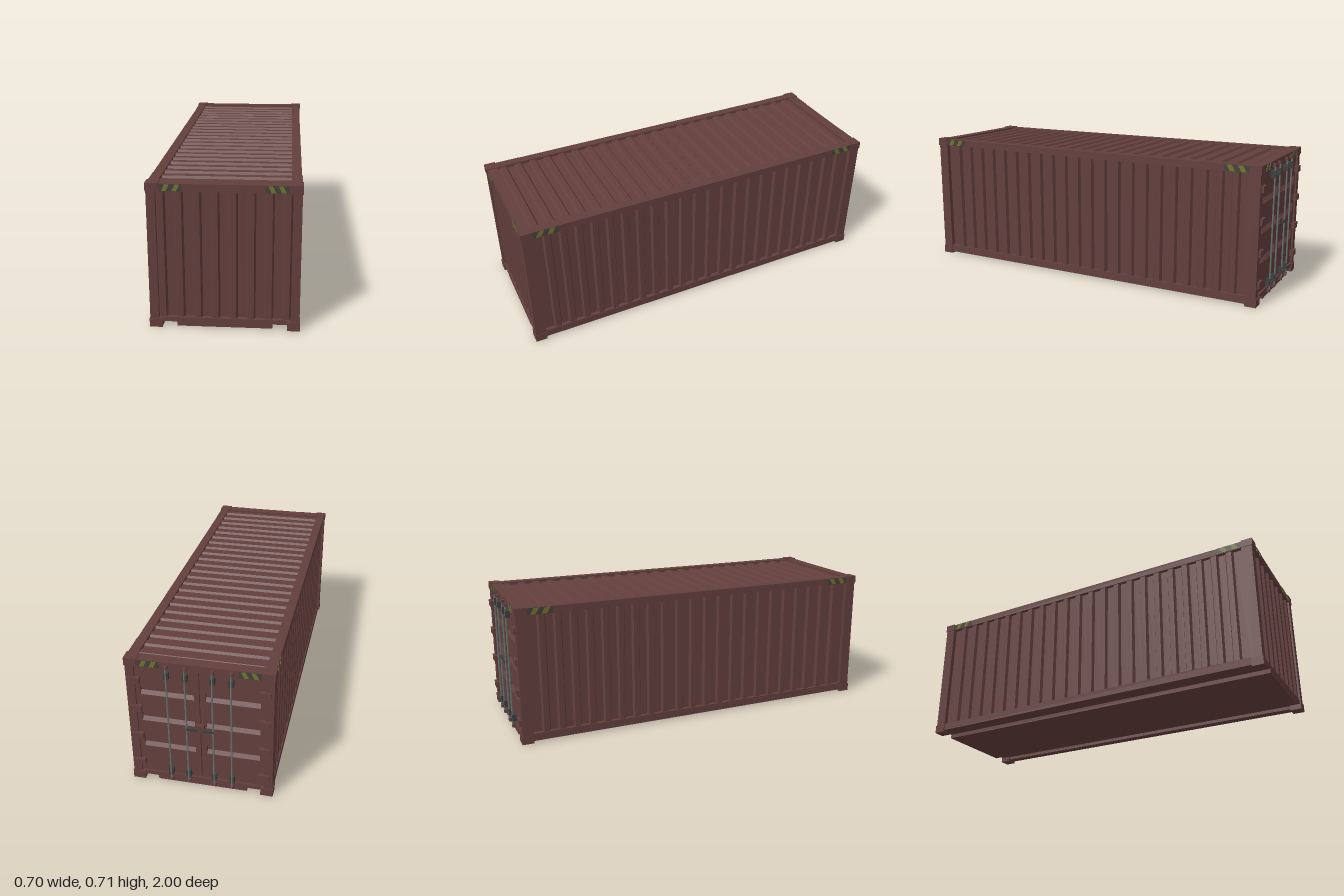
import * as THREE from 'three';

const mat = (name, color) => new THREE.MeshStandardMaterial({ name, color });

export function createModel() {
  const root = new THREE.Group();
  root.name = 'shippingContainer';
  const paint = mat('brownRedPaint', 0x633f3d);
  const steel = mat('greySteel', 0x66736f);
  const darkSteel = mat('darkSteel', 0x3b3f3c);
  const markDark = mat('warningDark', 0x42423a);
  const markYellow = mat('warningYellow', 0x77702f);

  const add = (name, geo, m = paint, parent = root) => {
    const mesh = new THREE.Mesh(geo, m);
    mesh.name = name;
    parent.add(mesh);
    return mesh;
  };
  // Box given by its lower and upper limits on each axis
  const box = (name, x0, x1, y0, y1, z0, z1, m = paint, parent = root) =>
    add(name, new THREE.BoxGeometry(x1 - x0, y1 - y0, z1 - z0)
      .translate((x0 + x1) / 2, (y0 + y1) / 2, (z0 + z1) / 2), m, parent);

  const PITCH = 0.082;
  // Corrugated sheet: runs along x, ridges point to +y, extruded along z
  const corrugated = (half, count, ridge, slope, depth, extent) => {
    const s = new THREE.Shape();
    s.moveTo(-half, -0.01);
    s.lineTo(-half, 0);
    for (let i = 0; i < count; i++) {
      const c = (i - (count - 1) / 2) * PITCH;
      s.lineTo(c - ridge / 2, 0);
      s.lineTo(c - ridge / 2 + slope, depth);
      s.lineTo(c + ridge / 2 - slope, depth);
      s.lineTo(c + ridge / 2, 0);
    }
    s.lineTo(half, 0);
    s.lineTo(half, -0.01);
    return new THREE.ExtrudeGeometry(s, { depth: extent, bevelEnabled: false });
  };

  const ZF = 1, ZB = -0.985, ZM = (ZF + ZB) / 2;

  // Corner castings and posts
  for (const s of [-1, 1]) {
    const xs = (a, b) => (s > 0 ? [a, b] : [-b, -a]);
    for (const [z0, z1] of [[0.94, ZF], [ZB, -0.925]]) {
      box('cornerCasting', ...xs(0.291, 0.352), 0, 0.043, z0, z1);
      box('cornerCasting', ...xs(0.291, 0.352), 0.666, 0.706, z0, z1);
      const zi = z0 > 0 ? [z0, z1 - 0.004] : [z0 + 0.004, z1];
      box('cornerPost', ...xs(0.308, 0.349), 0.043, 0.666, ...zi);
    }
    // Long rails
    box('topSideRail', ...xs(0.3, 0.346), 0.666, 0.702, -0.925, 0.94);
    box('bottomSideRail', ...xs(0.3, 0.346), 0.01, 0.05, -0.925, 0.94);

    // Side walls
    const wall = corrugated(0.9325, 22, 0.045, 0.008, 0.016, 0.616)
      .rotateX(Math.PI / 2).rotateY(s * Math.PI / 2)
      .translate(s * 0.326, 0.666, ZM);
    add('sideWall', wall);
  }

  // Front wall with header and sill
  add('frontWall', corrugated(0.309, 8, 0.042, 0.008, 0.016, 0.616)
    .rotateX(Math.PI / 2).translate(0, 0.666, 0.972));
  box('frontHeader', -0.291, 0.291, 0.666, 0.702, 0.94, 0.994);
  box('frontSill', -0.291, 0.291, 0.028, 0.05, 0.94, 0.994);

  // Roof: corrugated field between flat end strips
  add('roof', corrugated(0.9325, 23, 0.046, 0.009, 0.011, 0.602)
    .rotateY(Math.PI / 2).translate(-0.301, 0.685, ZM));

  // Floor and the lower centre slab
  box('floor', -0.301, 0.301, 0.028, 0.05, -0.93, 0.945);
  box('centreSlab', -0.223, 0.223, 0.006, 0.028, -0.978, 0.992);

  // Rear frame
  box('rearHeader', -0.291, 0.291, 0.666, 0.702, -0.98, -0.925);
  box('rearSill', -0.291, 0.291, 0.028, 0.05, -0.98, -0.925);

  // Rear doors with three recessed panels each, locking rods and hinges
  const rect = (P, x0, x1, y0, y1) => {
    const p = new P();
    p.moveTo(x0, y0);
    p.lineTo(x1, y0);
    p.lineTo(x1, y1);
    p.lineTo(x0, y1);
    p.closePath();
    return p;
  };
  box('doorBacking', -0.309, 0.309, 0.05, 0.666, -0.957, -0.945);
  for (const s of [-1, 1]) {
    const door = new THREE.Group();
    door.name = 'door';
    root.add(door);
    const xs = (a, b) => (s > 0 ? [a, b] : [-b, -a]);
    const leaf = rect(THREE.Shape, ...xs(0.003, 0.307), 0.052, 0.664);
    for (const y of [0.225, 0.378, 0.53]) {
      leaf.holes.push(rect(THREE.Path, ...xs(0.028, 0.285), y - 0.024, y + 0.024));
      // Sloping lower lip of the recess
      const lip = new THREE.Shape();
      lip.moveTo(0, 0);
      lip.lineTo(0.014, 0);
      lip.lineTo(0, 0.018);
      add('recessLip', new THREE.ExtrudeGeometry(lip, { depth: 0.257, bevelEnabled: false })
        .rotateY(Math.PI / 2).translate(xs(0.028, 0.285)[0], y - 0.024, -0.957), paint, door);
    }
    add('doorLeaf', new THREE.ExtrudeGeometry(leaf, { depth: 0.014, bevelEnabled: false })
      .translate(0, 0, -0.972), paint, door);

    for (const x of [0.064, 0.152]) {
      add('lockingRod', new THREE.CylinderGeometry(0.0045, 0.0045, 0.665, 8)
        .translate(s * x, 0.355, -0.991), steel, door);
      for (const y of [0.075, 0.635])
        box('rodBracket', s * x - 0.012, s * x + 0.012, y - 0.018, y + 0.018, -0.994, -0.97, darkSteel, door);
      for (const y of [0.03, 0.682])
        box('rodKeeper', s * x - 0.009, s * x + 0.009, y - 0.008, y + 0.008, -0.995, -0.978, paint, door);
    }
    // Hinges at the outer edge
    for (const y of [0.11, 0.27, 0.43, 0.59])
      box('hinge', ...xs(0.282, 0.336), y - 0.016, y + 0.016, -0.993, -0.97, paint, door);
    box('lockHandle', ...xs(0.012, 0.066), 0.345, 0.357, -0.997, -0.985, darkSteel, door);
  }
  box('centreLock', -0.02, 0.02, 0.34, 0.376, -0.99, -0.97);

  // Warning marks beside the upper castings; dir sets which way they run
  const mark = (w, dir, x, z, turn) => {
    const g = new THREE.Group();
    g.name = 'warningMark';
    const h = 0.035;
    const plate = rect(THREE.Shape, Math.min(0, dir * w), Math.max(0, dir * w), 0, h);
    add('markPlate', new THREE.ExtrudeGeometry(plate, { depth: 0.002, bevelEnabled: false }), markDark, g);
    for (const f of [0.12, 0.56]) {
      const stripe = new THREE.Shape();
      stripe.moveTo(dir * w * f, 0.002);
      stripe.lineTo(dir * w * (f + 0.2), 0.002);
      stripe.lineTo(dir * w * (f + 0.34), h - 0.002);
      stripe.lineTo(dir * w * (f + 0.14), h - 0.002);
      add('markStripe', new THREE.ExtrudeGeometry(stripe, { depth: 0.0015, bevelEnabled: false })
        .translate(0, 0, 0.002), markYellow, g);
    }
    g.position.set(x, 0.667, z);
    g.rotation.y = turn;
    root.add(g);
  };
  for (const s of [-1, 1]) {
    mark(0.105, -s, s * 0.291, 0.994, 0);
    mark(0.105, s, s * 0.291, -0.98, Math.PI);
    mark(0.13, s, s * 0.346, 0.94, s * Math.PI / 2);
    mark(0.13, -s, s * 0.346, -0.925, s * Math.PI / 2);
  }

  return root;
}
